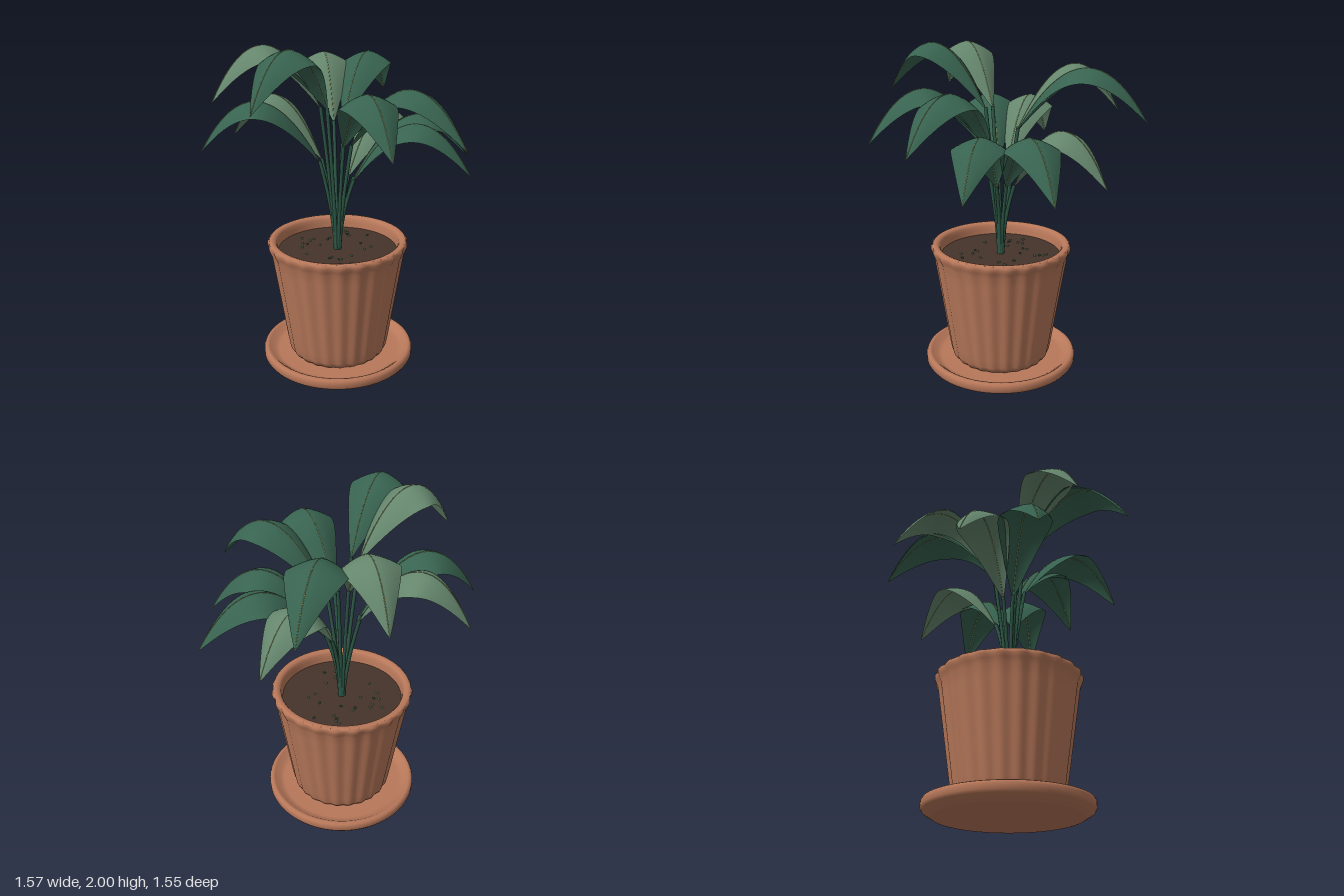
import * as THREE from 'three';

const mat = (name, color, side = THREE.FrontSide) => {
  const m = new THREE.MeshStandardMaterial({ color, side });
  m.name = name;
  return m;
};

const mesh = (name, geometry, material) => {
  const m = new THREE.Mesh(geometry, material);
  m.name = name;
  return m;
};

const lathe = (points, segments) =>
  new THREE.LatheGeometry(points.map(([r, y]) => new THREE.Vector2(r, y)), segments);

// One half of an arched blade; side is +1 or -1, the midrib follows curve in the x-y plane
function halfLeaf(curve, side) {
  const rows = 24, cols = 6, pos = [], index = [];
  for (let i = 0; i <= rows; i++) {
    const t = i / rows;
    const p = curve.getPoint(t), d = curve.getTangent(t);
    const w = 0.002 + 0.155 * Math.pow(Math.max(0, Math.sin(Math.PI * t)), 0.9);
    for (let j = 0; j <= cols; j++) {
      const u = j / cols;
      const droop = 0.45 * w * Math.pow(u, 1.5);
      pos.push(p.x + d.y * droop, p.y - d.x * droop, side * w * u);
      if (i < rows && j < cols) {
        const a = i * (cols + 1) + j, b = a + cols + 1;
        if (side > 0) index.push(a, a + 1, b, a + 1, b + 1, b);
        else index.push(a, b, a + 1, a + 1, b, b + 1);
      }
    }
  }
  const g = new THREE.BufferGeometry();
  g.setAttribute('position', new THREE.Float32BufferAttribute(pos, 3));
  g.setIndex(index);
  g.computeVertexNormals();
  return g;
}

export function createModel() {
  const terracotta = mat('terracotta', 0xb8785a);
  const soilBrown = mat('soil brown', 0x46342b);
  const darkGreen = mat('dark leaf green', 0x386350, THREE.DoubleSide);
  const paleGreen = mat('pale leaf green', 0x65866d, THREE.DoubleSide);
  const stemGreen = mat('stem green', 0x2f5a48);
  const veinGreen = mat('vein green', 0x8a9560);

  const model = new THREE.Group();
  model.name = 'pottedPlant';
  const plant = new THREE.Group();
  plant.name = 'plant';
  plant.position.set(-0.01, 0, -0.07);
  model.add(plant);

  // Saucer
  plant.add(mesh('saucer', lathe([
    [0, 0], [0.405, 0], [0.415, 0.002], [0.465, 0.032], [0.475, 0.048], [0.475, 0.075],
    [0.468, 0.09], [0.455, 0.096], [0.44, 0.092], [0.41, 0.066], [0.38, 0.06], [0, 0.06],
  ], 64), terracotta));

  // Pot wall with shallow vertical flutes
  const wall = lathe([
    [0, 0.061], [0.28, 0.061], [0.3, 0.085], [0.308, 0.105], [0.318, 0.16], [0.345, 0.34],
    [0.372, 0.52], [0.395, 0.67], [0.405, 0.735], [0.418, 0.765], [0.425, 0.785], [0.425, 0.8],
    [0.417, 0.811],
  ], 192);
  const p = wall.attributes.position;
  for (let i = 0; i < p.count; i++) {
    const x = p.getX(i), z = p.getZ(i), k = 1 + 0.013 * Math.cos(24 * Math.atan2(z, x));
    p.setX(i, x * k);
    p.setZ(i, z * k);
  }
  wall.computeVertexNormals();
  plant.add(mesh('pot', wall, terracotta));

  // Rounded lip and inner wall
  plant.add(mesh('potLip', lathe([
    [0.422, 0.804], [0.416, 0.812], [0.4, 0.813], [0.384, 0.808], [0.374, 0.795],
    [0.37, 0.77], [0.36, 0.7],
  ], 64), terracotta));

  // Soil with small sprigs scattered over it
  const soil = mesh('soil', new THREE.CylinderGeometry(0.366, 0.35, 0.04, 64), soilBrown);
  soil.position.y = 0.72;
  plant.add(soil);
  let seed = 7;
  const rand = () => (seed = (seed * 16807) % 2147483647) / 2147483647;
  const sprig = new THREE.IcosahedronGeometry(0.011, 0);
  for (let i = 0; i < 26; i++) {
    const a = rand() * Math.PI * 2, r = 0.11 + 0.19 * rand();
    const s = mesh('sprig', sprig, i % 3 ? paleGreen : darkGreen);
    s.position.set(r * Math.cos(a), 0.744, r * Math.sin(a));
    s.rotation.y = a;
    s.scale.set(1, 0.6, 0.7);
    plant.add(s);
  }

  // Leaves in a golden-angle spiral, five heights and three lengths
  for (let i = 0; i < 11; i++) {
    const leaf = new THREE.Group();
    leaf.name = 'leaf';
    leaf.rotation.y = THREE.MathUtils.degToRad(137.5 * i);
    const tipY = 1.27 + 0.11 * (i % 5);
    const reach = 0.73 + 0.055 * (i % 3);
    const v = (x, y) => new THREE.Vector3(x, y, 0);
    const rib = new THREE.QuadraticBezierCurve3(
      v(0.1, tipY - 0.09), v((0.1 + reach) / 2 + 0.01, tipY + 0.61), v(reach, tipY));
    const stalk = new THREE.QuadraticBezierCurve3(
      v(0.012, 0.73), v(0.022, 0.98), v(0.104, tipY - 0.075));
    const green = i % 3 === 0 ? paleGreen : darkGreen;
    leaf.add(
      mesh('leafHalfLeft', halfLeaf(rib, 1), green),
      mesh('leafHalfRight', halfLeaf(rib, -1), green),
      mesh('midrib', new THREE.TubeGeometry(rib, 24, 0.0025, 5), veinGreen),
      mesh('stem', new THREE.TubeGeometry(stalk, 14, 0.011, 8), stemGreen),
    );
    plant.add(leaf);
  }
  return model;
}
